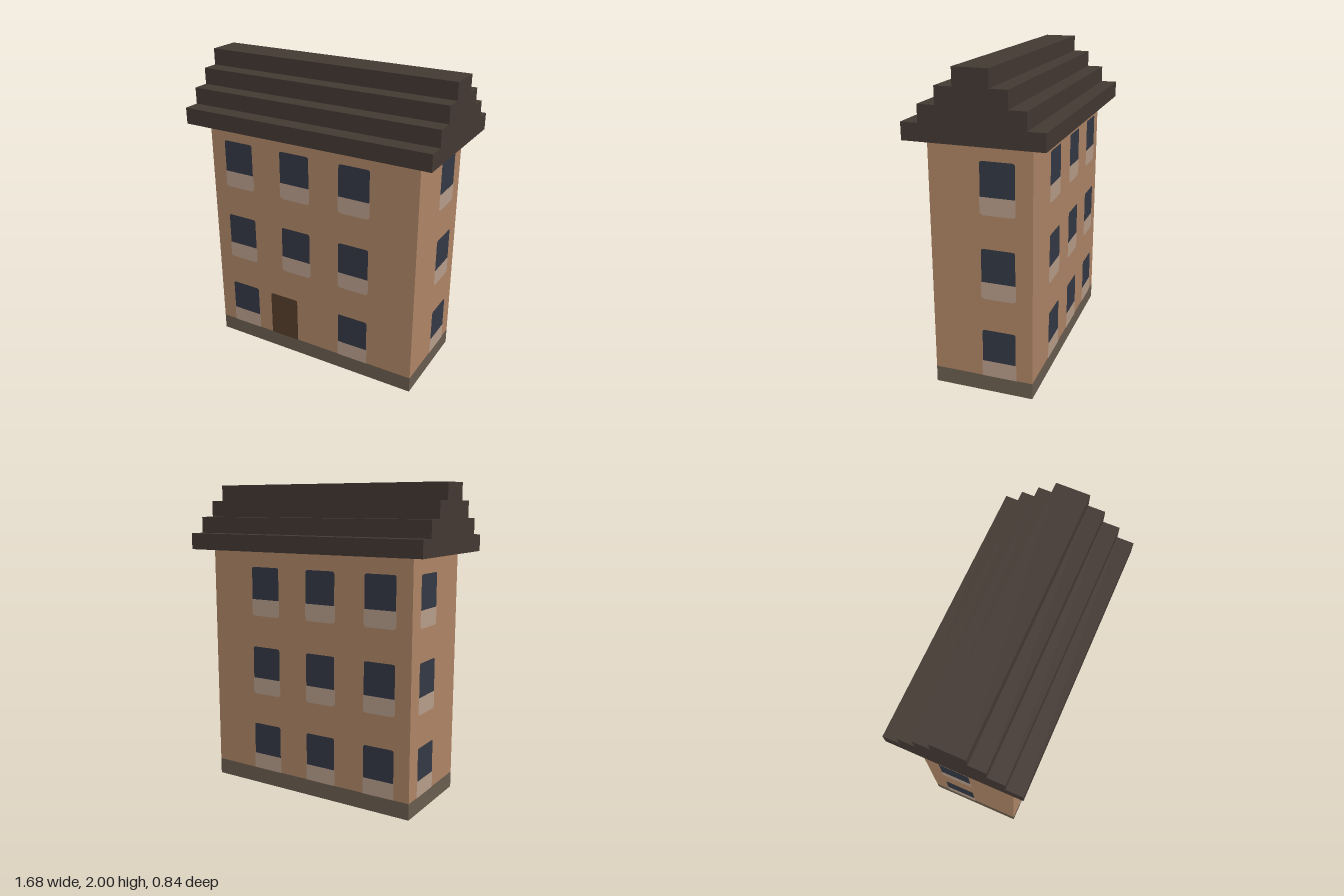
import * as THREE from 'three';

const U = 2 / 19; // one building module
const PLATE = 0.003; // how far painted panels stand off the wall

const mat = (name, color, side = THREE.FrontSide) => {
  const m = new THREE.MeshStandardMaterial({ color, side });
  m.name = name;
  return m;
};

// Rectangle with separate corner radii for the top and bottom
function panelShape(x0, y0, x1, y1, top, bottom) {
  const s = new THREE.Shape();
  s.moveTo(x0 + bottom, y0);
  s.lineTo(x1 - bottom, y0);
  if (bottom) s.quadraticCurveTo(x1, y0, x1, y0 + bottom);
  s.lineTo(x1, y1 - top);
  if (top) s.quadraticCurveTo(x1, y1, x1 - top, y1);
  s.lineTo(x0 + top, y1);
  if (top) s.quadraticCurveTo(x0, y1, x0, y1 - top);
  s.lineTo(x0, y0 + bottom);
  if (bottom) s.quadraticCurveTo(x0, y0, x0 + bottom, y0);
  return s;
}

export function createModel() {
  const model = new THREE.Group();
  model.name = 'townhouse';

  const wall = mat('wall plaster', 0xb28868);
  const stone = mat('plinth stone', 0x6c5f51);
  const roofing = mat('roof tiles', 0x453a34);
  const glass = mat('window glass', 0x343a46);
  const pale = mat('window sill', 0xbaa08d);
  const wood = mat('door wood', 0x57402b);

  const add = (parent, name, geometry, material) => {
    const mesh = new THREE.Mesh(geometry, material);
    mesh.name = name;
    parent.add(mesh);
    return mesh;
  };

  // Plinth and walls
  add(model, 'plinth', new THREE.BoxGeometry(14 * U, U, 6 * U), stone).position.y = U / 2;
  add(model, 'walls', new THREE.BoxGeometry(14 * U, 14 * U, 6 * U), wall).position.y = 8 * U;

  // Stepped gable roof, extruded along x
  const steps = [];
  for (let i = 0; i < 4; i++) steps.push([4 - i, 15 + i], [4 - i, 16 + i]);
  const outline = [...steps, ...steps.map(([z, y]) => [-z, y]).reverse()];
  const roofShape = new THREE.Shape(outline.map(([z, y]) => new THREE.Vector2(z * U, y * U)));
  const roofGeo = new THREE.ExtrudeGeometry(roofShape, { depth: 16 * U, bevelEnabled: false });
  roofGeo.translate(0, 0, -8 * U).rotateY(Math.PI / 2);
  add(model, 'steppedRoof', roofGeo, roofing);

  // Facades: turn, wall distance, and the left edge of each window column
  const facades = [
    { name: 'frontFacade', turn: 0, dist: 3, columns: [-6, -2, 2] },
    { name: 'backFacade', turn: Math.PI, dist: 3, columns: [-4, 0, 4] },
    { name: 'leftFacade', turn: Math.PI / 2, dist: 7, columns: [0] },
    { name: 'rightFacade', turn: -Math.PI / 2, dist: 7, columns: [-2] },
  ];
  for (const { name, turn, dist, columns } of facades) {
    const facade = new THREE.Group();
    facade.name = name;
    facade.rotation.y = turn;
    model.add(facade);
    const panel = (label, shape, material) => {
      add(facade, label, new THREE.ShapeGeometry(shape, 4), material).position.z = dist * U + PLATE;
    };

    for (const row of [0, 5, 10]) {
      for (const col of columns) {
        // The door takes the place of the middle ground floor window
        if (name === 'frontFacade' && row === 0 && col === -2) {
          panel('door', panelShape(-3 * U, U, -U, 4 * U, 0.014, 0), wood);
          continue;
        }
        const x0 = col * U, x1 = x0 + 2 * U, y = row * U;
        panel('windowGlass', panelShape(x0, y + 2 * U, x1, y + 4 * U, 0.016, 0), glass);
        const drop = row ? 0.004 : 0;
        panel('windowSill',
          panelShape(x0 - 0.004, y + U - drop, x1 + 0.004, y + 2 * U, 0, row ? 0.025 : 0), pale);
      }
    }
  }
  return model;
}
